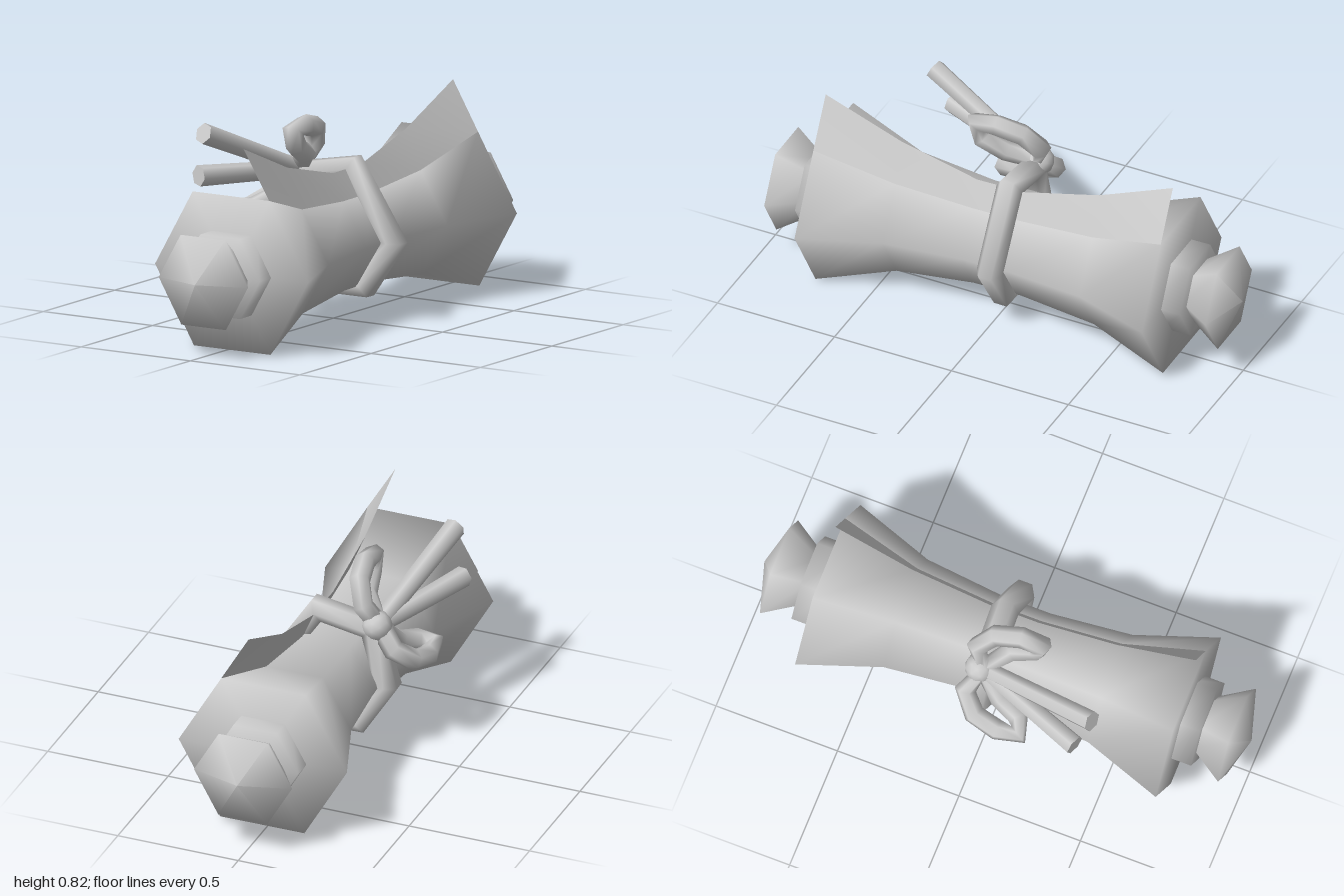
import * as THREE from 'three';

const material = new THREE.MeshStandardMaterial({ color: 0xcccccc });
const thinMaterial = new THREE.MeshStandardMaterial({ color: 0xcccccc, side: THREE.DoubleSide });

function addMesh(parent, geometry, name, mat = material) {
  const mesh = new THREE.Mesh(geometry, mat);
  mesh.name = name;
  parent.add(mesh);
  return mesh;
}

// Six-sided turned shape along z, corners on +x and -x; profile is [radius, z]
function hexTurned(profile) {
  const points = profile.map(([r, z]) => new THREE.Vector2(r, z));
  return new THREE.LatheGeometry(points, 6, Math.PI / 2).rotateX(Math.PI / 2);
}

// Low-poly tube whose rings sit exactly on the given points
function cord(points, radius, closed) {
  const curve = new THREE.CatmullRomCurve3(points.map(p => new THREE.Vector3(...p)), closed);
  curve.getPointAt = curve.getPoint;
  curve.getTangentAt = curve.getTangent;
  return new THREE.TubeGeometry(curve, closed ? points.length : points.length - 1, radius, 6, closed);
}

export function createModel() {
  const model = new THREE.Group();
  model.name = 'tiedScroll';

  // Rolled paper and its rod, leaning very slightly
  const roll = new THREE.Group();
  roll.name = 'roll';
  roll.position.set(0.0125, 0.32, 0);
  roll.rotation.set(0.015, 0.0075, 0);
  model.add(roll);

  // Paper: [z, radius, flap tip x, flap tip y]
  const stations = [
    [-0.74, 0.348, 0.062, 0.495], [-0.42, 0.235, 0.053, 0.36], [-0.1, 0.202, 0.055, 0.28],
    [0.1, 0.202, 0.055, 0.28], [0.42, 0.235, 0.053, 0.36], [0.74, 0.348, 0.06, 0.492],
  ];
  addMesh(roll, hexTurned([[0, -0.74], ...stations.map(s => [s[1], s[0]]), [0, 0.74]]), 'paperRoll');

  // Loose paper edge carrying on from the upper side face
  const flap = new THREE.PlaneGeometry(1, 1, stations.length - 1, 1);
  const pos = flap.attributes.position;
  stations.forEach(([z, r, tipX, tipY], i) => {
    pos.setXYZ(i, tipX, tipY, z);
    pos.setXYZ(i + stations.length, r * 0.5, r * 0.866, z);
  });
  flap.computeVertexNormals();
  addMesh(roll, flap, 'looseEdge', thinMaterial);

  // Collar and pointed knob at each end
  for (const side of [1, -1]) {
    const end = new THREE.Group();
    end.name = side > 0 ? 'frontRodEnd' : 'backRodEnd';
    end.rotation.y = side > 0 ? 0 : Math.PI;
    addMesh(end, hexTurned([[0.18, 0.7], [0.18, 0.82], [0, 0.82]]), 'collar');
    addMesh(end, hexTurned([[0.11, 0.8], [0.203, 0.94], [0, 1]]), 'knob');
    roll.add(end);
  }

  // Cord around the middle, rising over the loose edge
  addMesh(model, cord([
    [0.25, 0.325, -0.04], [0.125, 0.145, -0.035], [-0.1, 0.145, -0.03],
    [-0.215, 0.33, -0.03], [-0.15, 0.56, -0.03], [0.07, 0.6, -0.035],
  ], 0.055, true), 'tieCord');

  // Bow: one loop, and its mirror image across the bow's slanted axis
  const bow = new THREE.Group();
  bow.name = 'bow';
  bow.position.set(-0.17, 0.57, 0);
  model.add(bow);
  const loop = [
    [0, 0.02, -0.03], [0.04, 0.1, -0.07], [0.08, 0.175, -0.01], [0.1, 0.2, 0.09],
    [0.1, 0.19, 0.175], [0.1, 0.125, 0.15], [0.08, 0.08, 0.06],
  ];
  const [ux, uy] = [-0.8, 0.6];
  const mirrored = loop.map(([x, y, z]) => {
    const d = 2 * (x * ux + y * uy);
    return [d * ux - x, d * uy - y, z];
  });
  addMesh(bow, cord(loop, 0.042, true), 'upperLoop');
  addMesh(bow, cord(mirrored, 0.042, true), 'lowerLoop');
  const knot = addMesh(bow, new THREE.IcosahedronGeometry(0.06, 1), 'knot');
  knot.position.set(-0.005, 0.01, -0.04);

  // Two loose cord ends with closed tips
  [['upperCordEnd', [-0.12, 0.205, 0.465]], ['lowerCordEnd', [-0.175, 0.025, 0.415]]].forEach(([name, tip]) => {
    const start = new THREE.Vector3(0, 0, -0.03);
    const end = new THREE.Vector3(...tip);
    const tail = addMesh(bow, new THREE.CylinderGeometry(0.042, 0.034, start.distanceTo(end), 6), name);
    tail.position.lerpVectors(start, end, 0.5);
    tail.quaternion.setFromUnitVectors(new THREE.Vector3(0, 1, 0), end.clone().sub(start).normalize());
  });

  return model;
}
